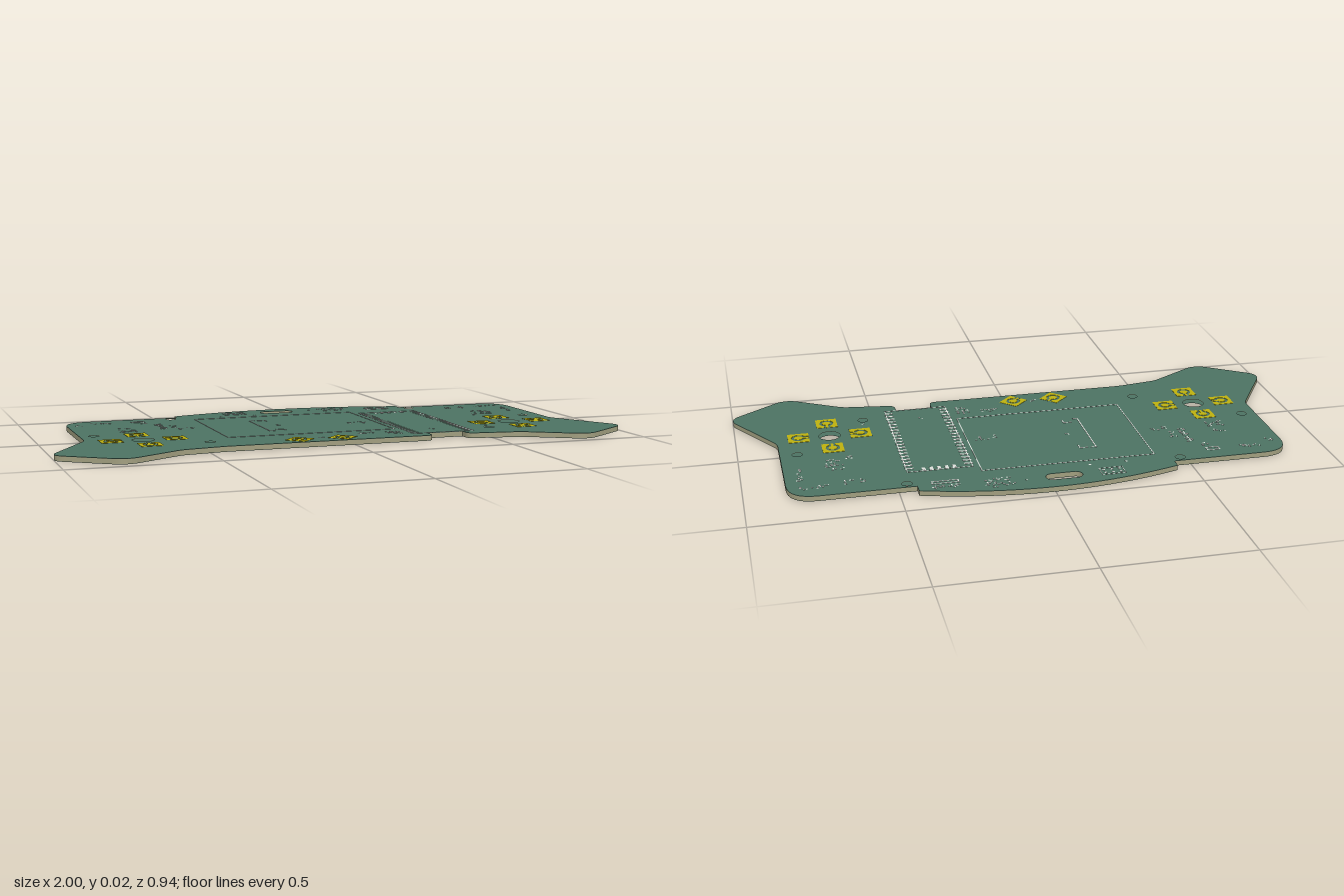
import * as THREE from 'three';
import { mergeGeometries } from 'three/addons/utils/BufferGeometryUtils.js';

const MASK = 0.0015, TOP = 0.018, INK = 0.001;

const mat = (name, color) => {
  const m = new THREE.MeshStandardMaterial({ color });
  m.name = name;
  return m;
};

// Rounded polygon; points are [x, z, radius]
function roundedPath(shape, pts) {
  const n = pts.length;
  pts.forEach(([x, z, r], i) => {
    const p = new THREE.Vector2(x, -z);
    if (!r) return i ? shape.lineTo(p.x, p.y) : shape.moveTo(p.x, p.y);
    const toward = (q) => new THREE.Vector2(q[0], -q[1]).sub(p).setLength(r).add(p);
    const a = toward(pts[(i + n - 1) % n]), b = toward(pts[(i + 1) % n]);
    if (i) shape.lineTo(a.x, a.y); else shape.moveTo(a.x, a.y);
    shape.quadraticCurveTo(p.x, p.y, b.x, b.y);
  });
  shape.closePath();
  return shape;
}

function boardShape() {
  const arc = [];
  for (let i = 0; i <= 24; i++) {
    const t = i / 12 - 1;
    arc.push([0.44 * t, -0.4 - 0.07 * (1 - t * t), 0]);
  }
  const shape = roundedPath(new THREE.Shape(), [
    [-0.44, -0.365, 0], ...arc, [0.44, -0.365, 0],
    [0.86, -0.365, 0.1], [0.86, 0.075, 0.02], [1.015, 0.33, 0.05], [0.8, 0.48, 0.05],
    [0.6, 0.36, 0.02], [0.413, 0.333, 0.025], [0.413, 0.285, 0], [0.283, 0.285, 0],
    [0.283, 0.337, 0.025], [-0.45, 0.337, 0.02], [-0.6, 0.36, 0.02], [-0.8, 0.48, 0.05],
    [-1.015, 0.33, 0.05], [-0.86, 0.075, 0.02], [-0.86, -0.365, 0.1],
  ]);
  const holes = [
    [-0.67, 0.112, 0.038], [0.675, 0.112, 0.038],
    [-0.47, -0.337, 0.018], [0.47, -0.337, 0.018], [-0.81, -0.022, 0.018],
    [0.8, -0.025, 0.018], [-0.47, 0.225, 0.018], [0.543, 0.225, 0.018],
  ];
  for (const [x, z, r] of holes) shape.holes.push(new THREE.Path().absarc(x, -z, r, 0, Math.PI * 2, true));
  // Strap slot
  const slot = new THREE.Path();
  slot.absarc(-0.088, 0.393, 0.023, Math.PI / 2, Math.PI * 1.5, false);
  slot.absarc(-0.008, 0.393, 0.023, -Math.PI / 2, Math.PI / 2, false);
  slot.closePath();
  shape.holes.push(slot);
  return shape;
}

const slab = (shape, y, depth) =>
  new THREE.ExtrudeGeometry(shape, { depth, bevelEnabled: false, curveSegments: 10 })
    .rotateX(-Math.PI / 2).translate(0, y, 0);

// Contact pad: open square frame around a dot whose trace leaves through the gap (+x)
function padGeometry(x, z, angle) {
  const h = 0.037, g = 0.011, r = 0.025, a = Math.asin(g / r);
  const frame = new THREE.Shape();
  frame.moveTo(h, g).lineTo(h, h).lineTo(-h, h).lineTo(-h, -h).lineTo(h, -h).lineTo(h, -g);
  frame.lineTo(r * Math.cos(a), -g);
  frame.absarc(0, 0, r, -a, -Math.PI * 2 + a, true);
  frame.closePath();
  const dot = new THREE.Shape().absarc(0, 0, 0.015, 0.3, Math.PI * 2 - 0.3, false);
  dot.lineTo(h, -0.0045).lineTo(h, 0.0045).closePath();
  return slab([frame, dot], TOP, INK).rotateY(angle).translate(x, 0, z);
}

export function createModel() {
  const green = mat('solder mask green', 0x4c7262);
  const tan = mat('board edge tan', 0xa09d7e);
  const gold = mat('contact gold', 0xbcb00f);
  const white = mat('printed white', 0xdcdeda);
  const group = new THREE.Group();
  const add = (name, geo, m) => {
    const mesh = new THREE.Mesh(geo, m);
    mesh.name = name;
    group.add(mesh);
  };

  // Board: fibre core between two mask layers
  const shape = boardShape();
  add('boardCore', slab(shape, MASK, TOP - 2 * MASK), tan);
  add('topMask', slab(shape, TOP - MASK, MASK), green);
  add('bottomMask', slab(shape, 0, MASK), green);

  // Two four-way button clusters, gaps facing the hub, and two diagonal pads
  const pads = [];
  for (const cx of [-0.67, 0.675])
    for (let k = 0; k < 4; k++) {
      const a = k * Math.PI / 2;
      pads.push(padGeometry(cx + 0.109 * Math.cos(a), 0.112 - 0.109 * Math.sin(a), a + Math.PI));
    }
  pads.push(padGeometry(-0.177, 0.277, Math.PI / 4), padGeometry(-0.024, 0.277, Math.PI * 1.25));
  add('contactPads', mergeGeometries(pads), gold);

  // Printed marks on the top
  const ink = [], under = [];
  const mark = (list, x0, z0, x1, z1, y = TOP) =>
    list.push(new THREE.BoxGeometry(x1 - x0, INK, z1 - z0)
      .translate((x0 + x1) / 2, y + INK / 2, (z0 + z1) / 2));
  const outline = (list, x0, z0, x1, z1, w, y) => {
    mark(list, x0, z0, x1, z0 + w, y);
    mark(list, x0, z1 - w, x1, z1, y);
    mark(list, x0, z0 + w, x0 + w, z1 - w, y);
    mark(list, x1 - w, z0 + w, x1, z1 - w, y);
  };
  outline(ink, -0.392, -0.296, 0.212, 0.162, 0.003);

  // Bracket outline
  mark(ink, -0.215, -0.193, -0.211, 0.068);
  for (const z of [-0.193, 0.064]) mark(ink, -0.211, z, -0.195, z + 0.004);
  for (const [z0, z1] of [[-0.19, -0.165], [0.036, 0.06]]) {
    mark(ink, -0.158, z0, -0.154, z1);
    mark(ink, -0.185, z0, -0.158, z0 + 0.004);
  }

  // Module footprint with two pin rows
  outline(ink, 0.232, -0.254, 0.457, 0.285, 0.003);
  for (let i = 0; i < 20; i++) {
    const z = -0.23 + i * 0.0255;
    mark(ink, 0.229, z, 0.258, z + 0.008);
    mark(ink, 0.431, z, 0.46, z + 0.008);
  }
  for (let i = 0; i < 5; i++) mark(ink, 0.288 + i * 0.026, -0.25, 0.3 + i * 0.026, -0.228);

  // Small connector outlines and pin dots
  outline(ink, -0.625, -0.307, -0.578, -0.282, 0.004);
  outline(ink, 0.3, -0.363, 0.392, -0.342, 0.004);
  outline(ink, -0.255, -0.417, -0.173, -0.366, 0.002);
  for (let i = 0; i < 3; i++)
    for (const z of [-0.402, -0.38]) mark(ink, -0.245 + i * 0.027, z - 0.004, -0.237 + i * 0.027, z + 0.004);
  for (const x of [-0.28, -0.153]) mark(ink, x - 0.004, -0.334, x + 0.004, -0.326);

  // Patches of fine specks [x0, z0, x1, z1]
  let seed = 7;
  const rand = () => (seed = (seed * 16807) % 2147483647) / 2147483647;
  const specks = (list, [x0, z0, x1, z1], y, density = 0.4) => {
    const s = 0.009;
    for (let z = z0; z < z1 - 0.004; z += s)
      for (let x = x0; x < x1 - 0.004; x += s)
        if (rand() < density) mark(list, x, z, x + 0.004 + rand() * 0.005, z + 0.005, y);
  };
  const patches = [
    [-0.83, -0.275, -0.79, -0.25], [-0.78, -0.31, -0.7, -0.285], [-0.6, -0.265, -0.57, -0.22],
    [-0.56, -0.22, -0.53, -0.1], [-0.515, -0.18, -0.49, -0.12], [-0.7, -0.16, -0.655, -0.13],
    [-0.71, -0.11, -0.645, -0.07], [-0.5, -0.1, -0.44, -0.07], [0.07, -0.41, 0.1, -0.375],
    [0.12, -0.43, 0.225, -0.36], [0.3, -0.4, 0.42, -0.375], [0.6, -0.3, 0.67, -0.26],
    [0.72, -0.31, 0.82, -0.285], [0.8, -0.25, 0.825, -0.14], [0.655, -0.18, 0.72, -0.09],
    [0.62, -0.1, 0.66, -0.075], [0.105, -0.045, 0.19, -0.01], [0.05, 0.2, 0.11, 0.23],
    [0.155, 0.2, 0.2, 0.27], [0.32, 0.19, 0.38, 0.21], [-0.11, 0.26, -0.08, 0.28],
    [-0.15, -0.07, -0.13, -0.055], [-0.48, 0.175, -0.465, 0.19], [0.535, 0.175, 0.55, 0.19],
  ];
  for (const p of patches) specks(ink, p, TOP);
  add('topPrint', mergeGeometries(ink), white);

  // Printed marks on the underside
  outline(under, -0.392, -0.296, 0.212, 0.162, 0.003, -INK / 2);
  specks(under, [0.7, -0.3, 0.8, -0.22], -INK / 2, 0.5);
  add('bottomPrint', mergeGeometries(under), white);

  return group;
}
